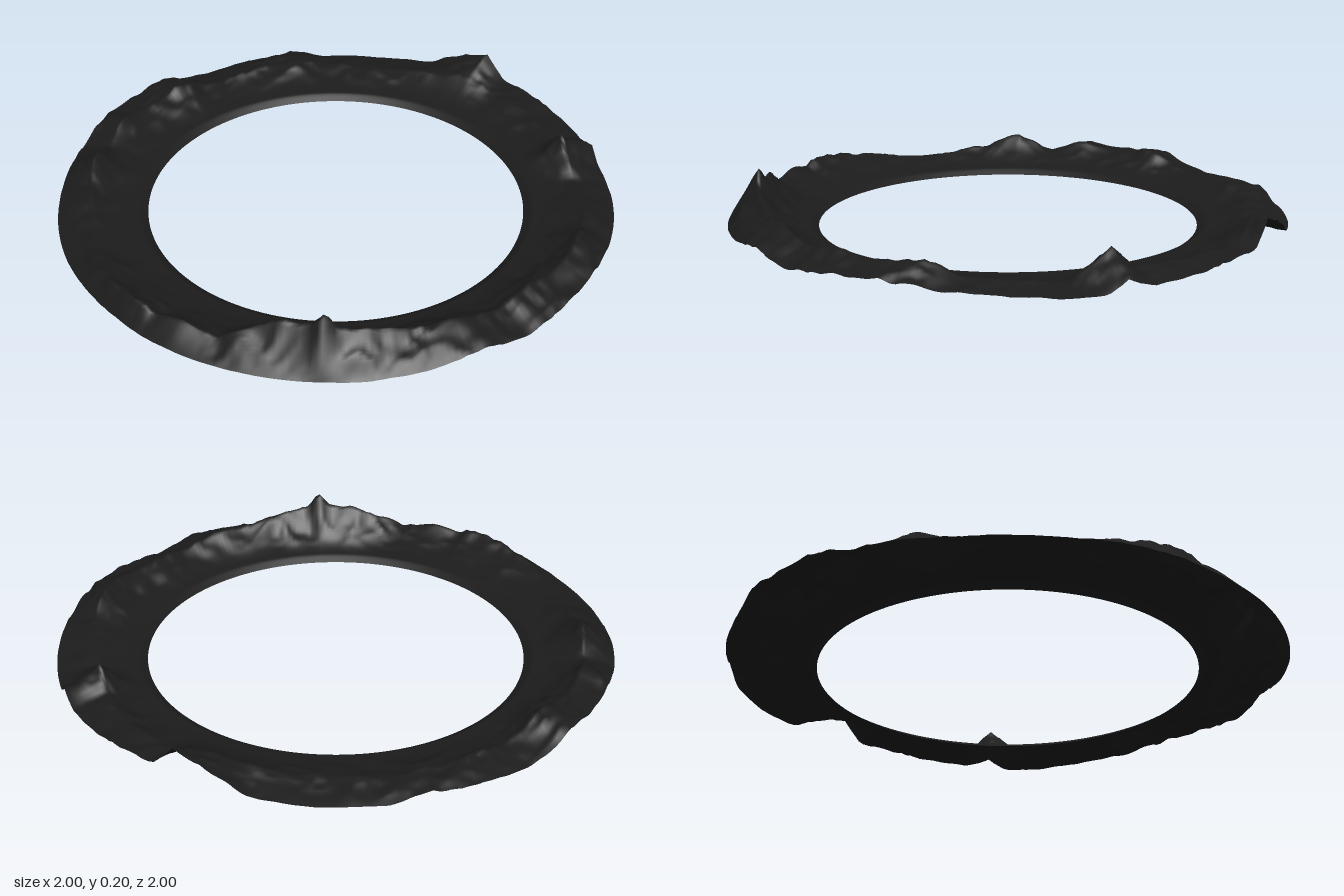
import * as THREE from 'three';

// Skyline around the ring: [angle in degrees from +z towards +x, crest height, outer rim height]
const SKYLINE = [
  [0, 0.11, 0.03], [6, 0.08, 0.02], [13, 0.09, 0.02], [21, 0.075, 0.02], [28, 0.13, 0.02],
  [34, 0.165, 0.02], [40, 0.165, 0.02], [43, 0.205, 0.02], [46, 0.155, 0.02], [50, 0.16, 0.02],
  [55, 0.13, 0.025], [66, 0.11, 0.04], [74, 0.095, 0.06], [84, 0.08, 0.03], [92, 0.1, 0.05],
  [98, 0.085, 0.06], [105, 0.1, 0.06], [115, 0.11, 0.05], [120, 0.07, 0.04], [130, 0.05, 0.03],
  [141, 0.03, 0.02], [147, 0.09, 0.02], [151, 0.14, 0.06], [156, 0.06, 0.03], [168, 0.06, 0.05],
  [176, 0.07, 0.065], [183, 0.06, 0.06], [188, 0.09, 0.14], [196, 0.07, 0.09], [203, 0.06, 0.035],
  [215, 0.06, 0.025], [228, 0.05, 0.02], [235, 0.08, 0.05], [250, 0.06, 0.03], [257, 0.05, 0.025],
  [270, 0.11, 0.08], [280, 0.08, 0.07], [288, 0.1, 0.07], [298, 0.07, 0.04], [306, 0.125, 0.035],
  [314, 0.08, 0.025], [326, 0.05, 0.02], [338, 0.045, 0.02], [347, 0.08, 0.03],
];
const INNER = 0.68, OUTER = 1, SEGMENTS = 320, RINGS = 40;
const { lerp, smoothstep, degToRad } = THREE.MathUtils;

// Seeded smooth value noise
const hash = (i, j) => {
  const s = Math.sin(i * 127.1 + j * 311.7) * 43758.5453;
  return s - Math.floor(s);
};
function noise(x, z) {
  const i = Math.floor(x), j = Math.floor(z);
  const u = smoothstep(x - i, 0, 1), v = smoothstep(z - j, 0, 1);
  return lerp(
    lerp(hash(i, j), hash(i + 1, j), u),
    lerp(hash(i, j + 1), hash(i + 1, j + 1), u), v);
}
const ridged = (x, z) => 1 - Math.abs(2 * noise(x, z) - 1);

// Crest and rim height at an angle
function skyline(angle) {
  let k = SKYLINE.findIndex((s) => s[0] > angle);
  if (k < 0) k = SKYLINE.length;
  const a = SKYLINE[k - 1];
  const b = k < SKYLINE.length ? SKYLINE[k] : [360, SKYLINE[0][1], SKYLINE[0][2]];
  const t = (angle - a[0]) / (b[0] - a[0]);
  return [lerp(a[1], b[1], t), lerp(a[2], b[2], t)];
}

function terrainHeight(r, angle, x, z) {
  // Sloping lip at the inner edge
  const base = 0.02;
  if (r < 0.71) return base * (r - INNER) / 0.03;
  const [crest, rim] = skyline(angle);
  // The crest lies further out at the front
  const front = smoothstep(Math.cos(degToRad(angle)), 0.85, 0.97);
  const crestRadius = 0.88 + 0.05 * front + 0.05 * (noise(x * 4 + 9, z * 4) - 0.5);
  let h;
  if (r < crestRadius) {
    const t = (r - 0.71) / (crestRadius - 0.71);
    h = lerp(base, crest, 0.2 * t + 0.8 * t * t);
  } else {
    h = lerp(crest, rim, (r - crestRadius) / (OUTER - crestRadius));
  }
  // Rocky gullies, fading out near the inner edge and on low ground
  const rough = 0.6 * ridged(x * 9, z * 9) + 0.4 * ridged(x * 19 + 5, z * 19) - 0.66;
  const amount = smoothstep(r, 0.71, 0.8) * Math.min(0.035, 0.5 * (h - base) + 0.006);
  return Math.max(base, h + amount * rough);
}

function terrainGeometry() {
  const positions = [], indices = [];
  for (let j = 0; j <= RINGS; j++) {
    const r = lerp(INNER, OUTER, j / RINGS);
    for (let i = 0; i < SEGMENTS; i++) {
      const angle = 360 * i / SEGMENTS, a = degToRad(angle);
      const x = r * Math.sin(a), z = r * Math.cos(a);
      positions.push(x, terrainHeight(r, angle, x, z), z);
      if (j === RINGS) continue;
      const p = j * SEGMENTS + i, q = j * SEGMENTS + (i + 1) % SEGMENTS;
      indices.push(p, p + SEGMENTS, q, q, p + SEGMENTS, q + SEGMENTS);
    }
  }
  const geometry = new THREE.BufferGeometry();
  geometry.setAttribute('position', new THREE.Float32BufferAttribute(positions, 3));
  geometry.setIndex(indices);
  geometry.computeVertexNormals();
  return geometry;
}

export function createModel() {
  const group = new THREE.Group();
  group.name = 'mountainRing';
  const rock = new THREE.MeshStandardMaterial({ color: 0x1c1c1c, side: THREE.DoubleSide });
  rock.name = 'dark rock';
  const terrain = new THREE.Mesh(terrainGeometry(), rock);
  terrain.name = 'mountainTerrain';
  group.add(terrain);
  return group;
}
